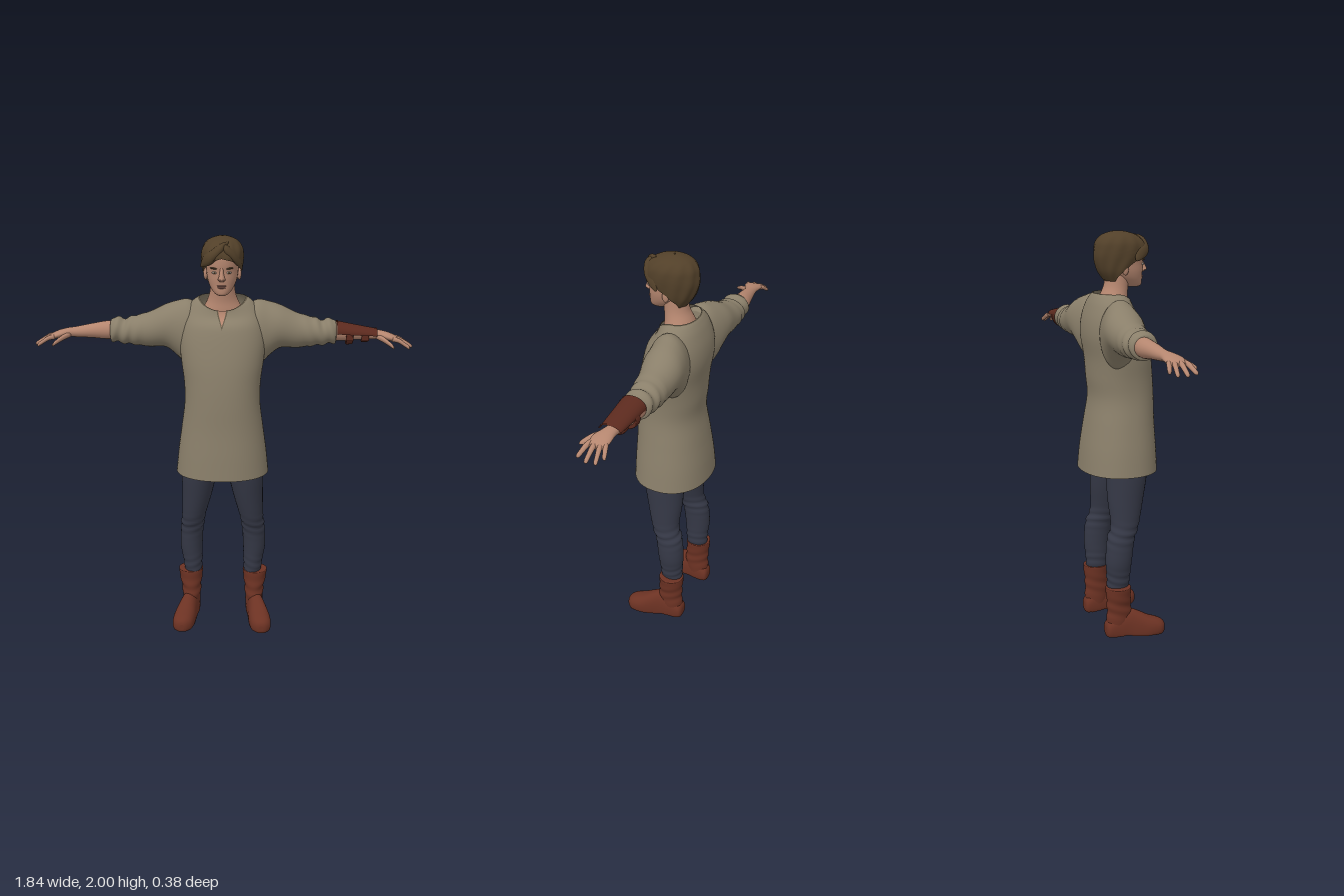
import * as THREE from 'three';

const mat = (name, color, side = THREE.FrontSide) => {
  const m = new THREE.MeshStandardMaterial({ color, side });
  m.name = name;
  return m;
};

// Smooth interpolation through the section rows, s in 0..1
function sample(rows, s) {
  const f = Math.min(Math.max(s, 0), 1) * (rows.length - 1);
  const i = Math.min(Math.floor(f), rows.length - 2), k = f - i;
  const a = rows[Math.max(i - 1, 0)], b = rows[i], c = rows[i + 1], d = rows[Math.min(i + 2, rows.length - 1)];
  return b.map((_, j) => b[j] + 0.5 * k * (c[j] - a[j]
    + k * (2 * a[j] - 5 * b[j] + 4 * c[j] - d[j] + k * (3 * (b[j] - c[j]) + d[j] - a[j]))));
}

// Section rows are [t, centreU, centreV, radiusU, radiusV]
// axis y: u = x, v = z; axis x: u = z, v = y; axis z: u = y, v = x
function loft(rows, axis, o = {}) {
  const { n = 2, seg = 32, sub = 5, s0 = 0, s1 = 1, off = 0, arc, ripple, fix, caps = true } = o;
  const count = Math.max(2, Math.ceil((rows.length - 1) * sub * (s1 - s0)));
  const pos = [], idx = [], cols = arc ? seg + 1 : seg;
  const se = c => Math.sign(c) * Math.pow(Math.abs(c), 2 / n);
  for (let i = 0; i <= count; i++) {
    const s = s0 + (s1 - s0) * i / count;
    const [t, cu, cv, ru, rv] = sample(rows, s);
    const [a0, a1] = arc ? arc(t, s) : [0, Math.PI * 2];
    for (let j = 0; j < cols; j++) {
      const a = a0 + (a1 - a0) * j / seg, e = off + (ripple ? ripple(t, a) : 0);
      const u = cu + (ru + e) * se(Math.cos(a)), v = cv + (rv + e) * se(Math.sin(a));
      const p = axis === 'y' ? new THREE.Vector3(u, t, v) : axis === 'x' ? new THREE.Vector3(t, v, u) : new THREE.Vector3(v, u, t);
      if (fix) fix(p, t, a);
      pos.push(p.x, p.y, p.z);
    }
  }
  for (let i = 0; i < count; i++) for (let j = 0; j < seg; j++) {
    const k = (j + 1) % cols, p = i * cols, q = p + cols;
    idx.push(p + j, q + j, p + k, q + j, q + k, p + k);
  }
  if (caps && !arc) for (const end of [0, count]) {
    const r = end * cols, c = pos.length / 3, m = [0, 0, 0];
    for (let j = 0; j < cols; j++) for (let d = 0; d < 3; d++) m[d] += pos[(r + j) * 3 + d] / cols;
    pos.push(...m);
    for (let j = 0; j < cols; j++) {
      const k = (j + 1) % cols;
      idx.push(c, r + (end ? k : j), r + (end ? j : k));
    }
  }
  const g = new THREE.BufferGeometry();
  g.setAttribute('position', new THREE.Float32BufferAttribute(pos, 3));
  g.setIndex(idx);
  g.computeVertexNormals();
  return g;
}

function mirrored(g) {
  const m = g.clone().scale(-1, 1, 1), ix = m.index.array;
  for (let i = 0; i < ix.length; i += 3) [ix[i], ix[i + 1]] = [ix[i + 1], ix[i]];
  m.computeVertexNormals();
  return m;
}

export function createModel() {
  const model = new THREE.Group();
  model.name = 'figure';
  const skin = mat('skin', 0xb5866f), lip = mat('lips', 0x94665a), white = mat('eyeWhite', 0xb9b0a6);
  const hairMat = mat('hair', 0x524029, THREE.DoubleSide);
  const cloth = mat('tunicCloth', 0x8a7f6a, THREE.DoubleSide), trim = mat('tunicTrim', 0x625846, THREE.DoubleSide);
  const denim = mat('trouserCloth', 0x353846), boot = mat('bootLeather', 0x6c3223);
  const leather = mat('bracerLeather', 0x5c2a1e, THREE.DoubleSide);
  const add = (name, g, m) => {
    const mesh = new THREE.Mesh(g, m);
    mesh.name = name;
    model.add(mesh);
    return mesh;
  };
  const pair = (name, g, m) => { add(name + 'Left', g, m); add(name + 'Right', mirrored(g), m); };
  const blob = (x, y, z, a, b, c, tilt = 0) =>
    new THREE.SphereGeometry(1, 16, 10).scale(a, b, c).rotateZ(tilt).translate(x, y, z);

  // Tunic body, with the neckline dipping at the front
  const torso = [
    [0.835, 0, 0.005, 0.23, 0.19], [0.95, 0, 0.008, 0.218, 0.182], [1.08, 0, 0.014, 0.2, 0.168],
    [1.2, 0, 0.022, 0.185, 0.157], [1.3, 0, 0.015, 0.187, 0.158], [1.4, 0, 0.006, 0.2, 0.155],
    [1.5, 0, -0.012, 0.21, 0.152], [1.58, 0, -0.022, 0.2, 0.138], [1.65, 0, -0.028, 0.172, 0.112],
    [1.69, 0, -0.025, 0.14, 0.095], [1.708, 0, -0.02, 0.112, 0.086]];
  const dip = (p, t, a) => {
    p.y -= 0.055 * THREE.MathUtils.smoothstep(t, 1.56, 1.708) * Math.pow(Math.max(0, Math.sin(a)), 1.5);
  };
  const body = { n: 2.2, seg: 56, fix: dip, caps: false };
  add('tunicBody', loft(torso, 'y', body), cloth);
  add('collarTrim', loft(torso, 'y', { ...body, s0: 0.975, off: 0.003 }), trim);
  const slit = (w, s) => (t, v) => [Math.PI / 2 - w * (v - s) / (1 - s), Math.PI / 2 + w * (v - s) / (1 - s)];
  add('neckSlitTrim', loft(torso, 'y', { ...body, seg: 6, sub: 8, s0: 0.69, off: 0.004, arc: slit(0.2, 0.69) }), trim);
  add('neckSlit', loft(torso, 'y', { ...body, seg: 6, sub: 8, s0: 0.72, off: 0.006, arc: slit(0.14, 0.72) }), skin);

  // Sleeves with a turned cuff
  pair('sleeve', loft([
    [0.12, -0.04, 1.53, 0.09, 0.14], [0.17, -0.045, 1.525, 0.1, 0.165], [0.22, -0.055, 1.543, 0.1, 0.137],
    [0.28, -0.062, 1.555, 0.098, 0.105], [0.36, -0.068, 1.535, 0.085, 0.086], [0.44, -0.072, 1.528, 0.077, 0.07],
    [0.48, -0.074, 1.523, 0.068, 0.062], [0.515, -0.075, 1.53, 0.066, 0.062], [0.545, -0.076, 1.528, 0.06, 0.058],
    [0.552, -0.078, 1.527, 0.044, 0.044]], 'x', {
    ripple: (t, a) => 0.004 * THREE.MathUtils.smoothstep(t, 0.36, 0.46) * Math.sin(t * 110 + 2 * Math.sin(a)) }), cloth);

  // Forearms and palms
  pair('forearm', loft([
    [0.5, -0.08, 1.53, 0.042, 0.042], [0.57, -0.082, 1.526, 0.044, 0.045], [0.64, -0.075, 1.524, 0.038, 0.036],
    [0.72, -0.067, 1.519, 0.03, 0.026], [0.76, -0.06, 1.518, 0.034, 0.022], [0.8, -0.052, 1.512, 0.045, 0.019],
    [0.835, -0.05, 1.502, 0.042, 0.015], [0.85, -0.05, 1.498, 0.034, 0.009]], 'x', { seg: 24 }), skin);

  // Fingers: base z, tip x, tip z, tip y
  const fingers = [[-0.083, 0.878, -0.104, 1.472], [-0.062, 0.915, -0.083, 1.464], [-0.039, 0.921, -0.04, 1.463], [-0.018, 0.903, 0.008, 1.466]];
  fingers.forEach(([z, tx, tz, ty], i) => {
    const at = (k, y, r) => [0.82 + (tx - 0.82) * k, z + (tz - z) * k, y, r, r];
    pair('finger' + (i + 1), loft([at(0, 1.503, 0.012), at(0.35, 1.499, 0.012), at(0.7, (1.497 + ty) / 2, 0.0105),
      at(0.94, ty + 0.003, 0.009), at(1, ty, 0.003)], 'x', { seg: 12, sub: 3 }), skin);
  });
  pair('thumb', loft([[0.745, -0.045, 1.511, 0.014, 0.012], [0.775, -0.015, 1.503, 0.021, 0.014],
    [0.8, 0.012, 1.49, 0.018, 0.012], [0.818, 0.032, 1.478, 0.013, 0.009], [0.825, 0.04, 1.473, 0.004, 0.004]],
  'x', { seg: 12, sub: 3 }), skin);

  // Bracer on the left forearm, held by two straps
  const guard = [[0.553, -0.065, 1.535, 0.062, 0.047], [0.65, -0.062, 1.528, 0.056, 0.036], [0.748, -0.06, 1.522, 0.05, 0.024]];
  const half = () => [-0.15, Math.PI + 0.15];
  add('bracerPlate', loft(guard, 'x', { arc: half }), leather);
  for (const [s0, s1] of [[0, 0.05], [0.95, 1]])
    add('bracerEdge', loft(guard, 'x', { arc: half, s0, s1, off: 0.003 }), leather);
  for (const [x, z, y, rz, ry] of [[0.6, -0.074, 1.513, 0.052, 0.048], [0.675, -0.068, 1.512, 0.042, 0.034]]) {
    add('bracerStrap', loft([[x, z, y, rz - 0.006, ry - 0.006], [x + 0.003, z, y, rz, ry],
      [x + 0.03, z, y, rz - 0.002, ry - 0.002], [x + 0.033, z, y, rz - 0.008, ry - 0.008]], 'x'), leather);
    add('strapBuckle', new THREE.BoxGeometry(0.036, 0.02, 0.008).translate(x + 0.016, y - 0.01, z + rz), leather);
  }

  // Trouser legs with creases around the knee and shin
  pair('trouserLeg', loft([
    [0.25, 0.155, -0.05, 0.044, 0.055], [0.32, 0.158, -0.048, 0.05, 0.06], [0.4, 0.163, -0.047, 0.057, 0.067],
    [0.5, 0.158, -0.036, 0.058, 0.07], [0.58, 0.148, -0.01, 0.06, 0.072], [0.7, 0.13, 0, 0.075, 0.09],
    [0.83, 0.114, 0.01, 0.09, 0.105], [0.92, 0.095, 0.005, 0.1, 0.115], [1.02, 0.08, 0.005, 0.09, 0.1]], 'y', {
    sub: 8, ripple: (t, a) => 0.004 * Math.sin(t * 150 + 2.5 * Math.sin(a + 1))
      * (Math.exp(-(((t - 0.53) / 0.05) ** 2)) + 0.7 * Math.exp(-(((t - 0.3) / 0.04) ** 2))) }), denim);

  // Boots: shaft and foot
  pair('bootShaft', loft([
    [0.03, 0.165, -0.055, 0.042, 0.058], [0.1, 0.165, -0.047, 0.046, 0.064], [0.15, 0.165, -0.046, 0.048, 0.063],
    [0.2, 0.167, -0.05, 0.056, 0.062], [0.25, 0.168, -0.052, 0.063, 0.064], [0.26, 0.168, -0.052, 0.06, 0.061],
    [0.261, 0.168, -0.052, 0.045, 0.05]], 'y', {
    ripple: (t, a) => 0.003 * Math.sin(t * 100 + 2 * Math.sin(a)) * Math.exp(-(((t - 0.15) / 0.06) ** 2)) }), boot);
  pair('bootFoot', loft([
    [-0.118, 0.035, 0.162, 0.02, 0.022], [-0.105, 0.035, 0.163, 0.048, 0.04], [-0.05, 0.04, 0.167, 0.08, 0.045],
    [0.0, 0.04, 0.175, 0.098, 0.045], [0.05, 0.035, 0.186, 0.085, 0.051], [0.1, 0.03, 0.196, 0.064, 0.056],
    [0.15, 0.028, 0.202, 0.047, 0.05], [0.175, 0.027, 0.204, 0.032, 0.03], [0.183, 0.026, 0.204, 0.014, 0.012]], 'z', {
    n: 2.3, fix: p => { p.y = Math.max(p.y, 0.006 * Math.exp(-(((p.z + 0.02) / 0.03) ** 2))); } }), boot);

  // Neck and head
  add('neck', loft([[1.58, 0, -0.03, 0.11, 0.08], [1.64, 0, -0.022, 0.1, 0.078], [1.69, 0, -0.014, 0.075, 0.068],
    [1.74, 0, 0, 0.06, 0.06], [1.81, 0, 0.01, 0.056, 0.06]], 'y'), skin);
  add('head', loft([
    [1.733, 0, 0.09, 0.018, 0.025], [1.74, 0, 0.085, 0.032, 0.043], [1.755, 0, 0.075, 0.046, 0.056],
    [1.78, 0, 0.056, 0.061, 0.075], [1.81, 0, 0.042, 0.071, 0.091], [1.845, 0, 0.03, 0.076, 0.103],
    [1.88, 0, 0.025, 0.08, 0.112], [1.92, 0, 0.022, 0.08, 0.11], [1.96, 0, 0.02, 0.058, 0.08], [1.975, 0, 0.02, 0.02, 0.03]],
  'y', { n: 2.1 }), skin);
  add('nose', loft([[1.803, 0, 0.128, 0.012, 0.01], [1.812, 0, 0.135, 0.018, 0.023], [1.82, 0, 0.136, 0.015, 0.023],
    [1.838, 0, 0.132, 0.01, 0.018], [1.855, 0, 0.127, 0.009, 0.014], [1.87, 0, 0.122, 0.011, 0.012]], 'y', { seg: 16 }), skin);
  add('upperLip', blob(0, 1.782, 0.13, 0.023, 0.004, 0.008), lip);
  add('lowerLip', blob(0, 1.774, 0.128, 0.019, 0.005, 0.008), lip);
  pair('ear', blob(0.08, 1.822, 0.018, 0.01, 0.028, 0.017), skin);
  pair('eye', blob(0.033, 1.843, 0.124, 0.013, 0.006, 0.006), white);
  pair('iris', blob(0.033, 1.843, 0.129, 0.005, 0.005, 0.003), hairMat);
  pair('eyebrow', blob(0.035, 1.863, 0.126, 0.02, 0.004, 0.007, 0.1), hairMat);

  // Hair cap, open over the face, with soft strands
  const opening = [[1.76, 2.3], [1.81, 1.75], [1.85, 1.35], [1.88, 1], [1.9, 0.4], [1.91, 0]];
  const gap = y => {
    const i = opening.findIndex(o => o[0] > y);
    if (i < 0) return 0;
    const [a, b] = [opening[Math.max(i - 1, 0)], opening[Math.max(i, 1)]];
    return THREE.MathUtils.mapLinear(y, a[0], b[0], a[1], b[1]);
  };
  add('hairCap', loft([
    [1.765, 0, 0, 0.065, 0.056], [1.81, 0, 0.005, 0.086, 0.094], [1.87, 0, 0.02, 0.097, 0.129],
    [1.915, 0, 0.023, 0.099, 0.131], [1.95, 0, 0.02, 0.092, 0.119], [1.98, 0, 0.014, 0.068, 0.085],
    [1.996, 0, 0.01, 0.03, 0.038], [2, 0, 0.01, 0.004, 0.004]], 'y', {
    seg: 64, sub: 8, arc: y => [Math.PI / 2 + gap(y) * 0.9, Math.PI * 2.5 - gap(y)],
    ripple: (t, a) => 0.002 * Math.sin(11 * a + 30 * t) * THREE.MathUtils.smoothstep(1.99, t, t + 0.03) }), hairMat);

  // Swept fringe locks either side of the parting
  add('fringeRight', loft([[-0.1, 0.07, 1.868, 0.008, 0.008], [-0.085, 0.09, 1.89, 0.024, 0.026],
    [-0.05, 0.122, 1.912, 0.028, 0.032], [0, 0.118, 1.95, 0.03, 0.028], [0.03, 0.09, 1.972, 0.012, 0.01]], 'x', { seg: 20 }), hairMat);
  add('fringeLeft', loft([[-0.01, 0.1, 1.96, 0.012, 0.012], [0.02, 0.12, 1.945, 0.028, 0.026],
    [0.06, 0.11, 1.912, 0.026, 0.028], [0.085, 0.08, 1.88, 0.022, 0.024], [0.096, 0.06, 1.855, 0.008, 0.01]], 'x', { seg: 20 }), hairMat);
  return model;
}
